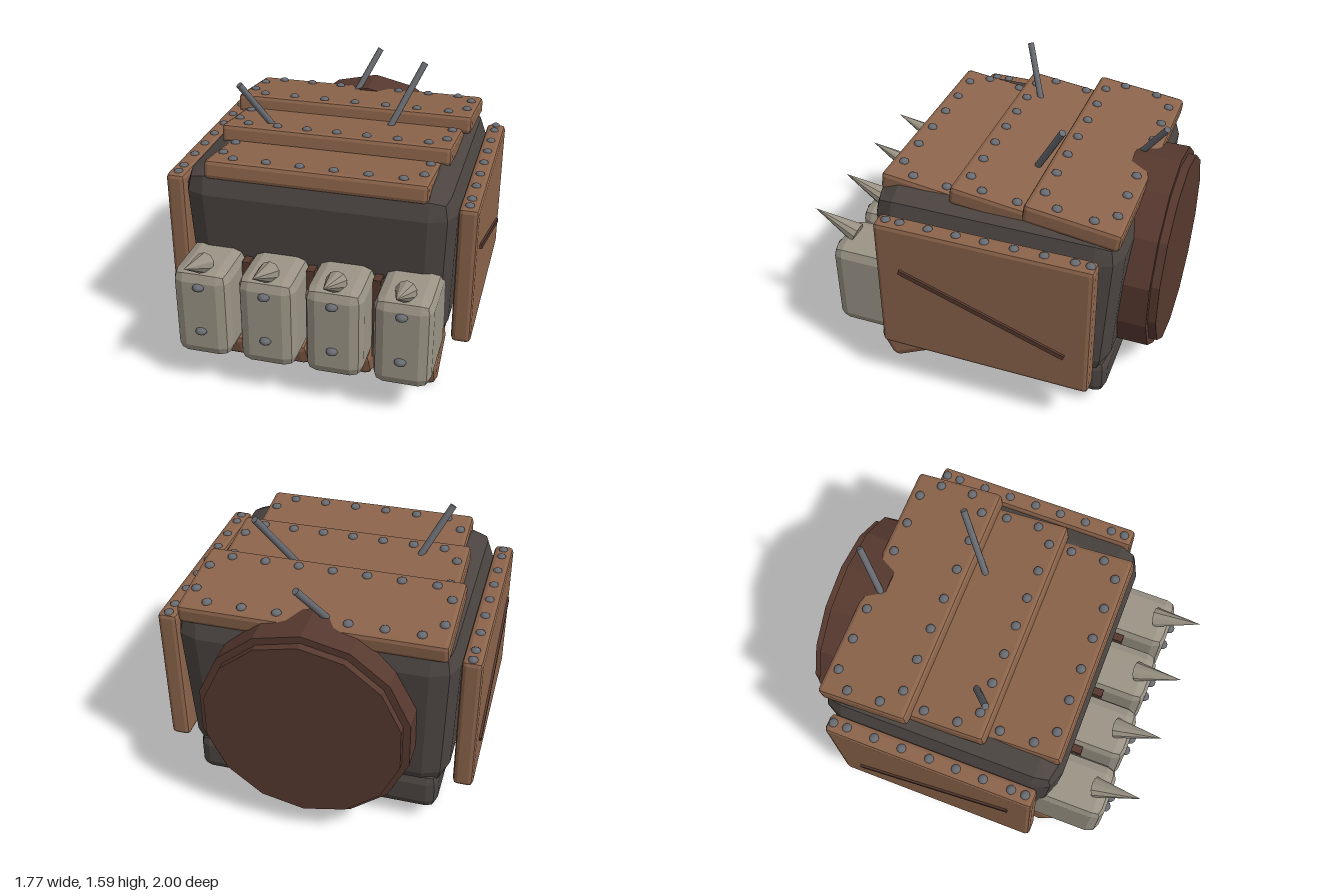
import * as THREE from 'three';
import { RoundedBoxGeometry } from 'three/addons/geometries/RoundedBoxGeometry.js';

const mat = (name, color) => {
  const m = new THREE.MeshStandardMaterial({ color, flatShading: true });
  m.name = name;
  return m;
};

export function createModel() {
  const model = new THREE.Group();
  model.name = 'armouredFist';
  const iron = mat('darkIron', 0x4b4441);
  const copper = mat('copperPlate', 0x8c644b);
  const rust = mat('darkRust', 0x57392f);
  const bone = mat('paleMetal', 0x9b9486);
  const steel = mat('rivetSteel', 0x686b71);
  steel.flatShading = false;

  const add = (name, geometry, material, x = 0, y = 0, z = 0, parent = model) => {
    const mesh = new THREE.Mesh(geometry, material);
    mesh.name = name;
    mesh.position.set(x, y, z);
    parent.add(mesh);
    return mesh;
  };
  // Box with a two-facet bevel
  const bevelBox = (w, h, d, r) => new RoundedBoxGeometry(w, h, d, 1, r);
  const rivetGeo = new THREE.SphereGeometry(1, 10, 6);
  const rivet = (x, y, z, r = 0.027, parent = model) =>
    add('rivet', rivetGeo, steel, x, y, z, parent).scale.set(r, r * 0.68, r);

  // Hand body, narrowing slightly towards the bottom
  const bodyGeo = bevelBox(1.53, 0.97, 1.4, 0.14);
  const p = bodyGeo.attributes.position;
  for (let i = 0; i < p.count; i++) {
    const t = 0.5 - p.getY(i) / 0.97;
    p.setX(i, p.getX(i) * (1 - 0.045 * t));
    p.setZ(i, p.getZ(i) * (1 - 0.085 * t));
  }
  add('handBody', bodyGeo, iron, 0, 0.715, -0.137);
  add('palm', bevelBox(1.38, 0.24, 1.18, 0.06), iron, 0, 0.22, -0.19);

  // Wrist cuff with a stepped rim
  const cuff = (name, r, z0, z1) => {
    const g = new THREE.CylinderGeometry(r, r, z0 - z1, 14);
    g.rotateX(Math.PI / 2);
    add(name, g, rust, 0, 0.7, (z0 + z1) / 2);
  };
  cuff('cuff', 0.58, -0.7, -0.955);
  cuff('cuffRim', 0.54, -0.9, -1.0);

  // Fingers: knuckle block, spike, rivets and curled lower segment
  const fingerGeo = bevelBox(0.32, 0.54, 0.48, 0.065);
  const tipGeo = bevelBox(0.3, 0.21, 0.36, 0.045);
  const spikeGeo = new THREE.ConeGeometry(0.06, 0.28, 10);
  spikeGeo.rotateX(Math.PI / 2);
  for (const x of [-0.557, -0.186, 0.186, 0.557]) {
    add('finger', fingerGeo, bone, x, 0.47, 0.6);
    add('fingerTip', tipGeo, copper, x, 0.158, 0.385).rotation.x = 0.47;
    add('knuckleSpike', spikeGeo, bone, x, 0.804, 0.872).rotation.x = -0.41;
    for (const y of [0.373, 0.652]) rivet(x, y, 0.84, 0.033);
  }
  // Strips between the fingers
  for (const x of [-0.371, 0, 0.371])
    add('fingerStrip', new THREE.BoxGeometry(0.045, 0.5, 0.14), rust, x, 0.45, 0.53);

  // Side plates with a gouge and riveted top edge
  const sideGeo = bevelBox(0.11, 0.83, 1.2, 0.025);
  for (const s of [-1, 1]) {
    add('sidePlate', sideGeo, copper, s * 0.819, 0.7, -0.135);
    add('gouge', new THREE.BoxGeometry(0.03, 0.027, 0.98), rust, s * 0.872, 0.675, -0.135).rotation.x = -0.331;
    for (const z of [-0.7, -0.62, -0.46, -0.3, -0.14, 0.015, 0.17, 0.33, 0.41])
      rivet(s * 0.817, 1.113, z);
  }

  // Overlapping back-of-hand plates: [half width, y, z, rivets per row, row half width]
  const plates = [
    [0.617, 1.17, 0.272, 6, 0.47],
    [0.667, 1.205, -0.14, 7, 0.525],
    [0.715, 1.228, -0.56, 7, 0.565],
  ];
  for (const [hw, y, z, n, row] of plates) {
    const plate = new THREE.Group();
    plate.name = 'topPlate';
    plate.position.set(0, y, z);
    plate.rotation.x = -0.13;
    model.add(plate);
    add('plank', bevelBox(hw * 2, 0.11, 0.52, 0.025), copper, 0, 0, 0, plate);
    for (const s of [-1, 1]) {
      for (let i = 0; i < n; i++)
        rivet(row * (2 * i / (n - 1) - 1), 0.056, s * 0.193, 0.027, plate);
      for (const e of [-1, 1]) rivet(e * (hw - 0.055), 0.056, s * 0.097, 0.027, plate);
    }
  }

  // Broken shafts stuck in the plates
  const shafts = [
    [-0.39, 1.24, -0.035, -0.553, 1.535, 0.092],
    [0.25, 1.24, -0.23, 0.41, 1.58, -0.412],
    [-0.07, 1.25, -0.725, 0.044, 1.485, -0.872],
  ];
  for (const [ax, ay, az, bx, by, bz] of shafts) {
    const a = new THREE.Vector3(ax, ay, az), b = new THREE.Vector3(bx, by, bz);
    const dir = b.clone().sub(a);
    const mid = a.clone().add(b).multiplyScalar(0.5);
    const shaft = add('shaft', new THREE.CylinderGeometry(0.019, 0.019, dir.length(), 8), steel, mid.x, mid.y, mid.z);
    shaft.quaternion.setFromUnitVectors(new THREE.Vector3(0, 1, 0), dir.normalize());
  }
  return model;
}
